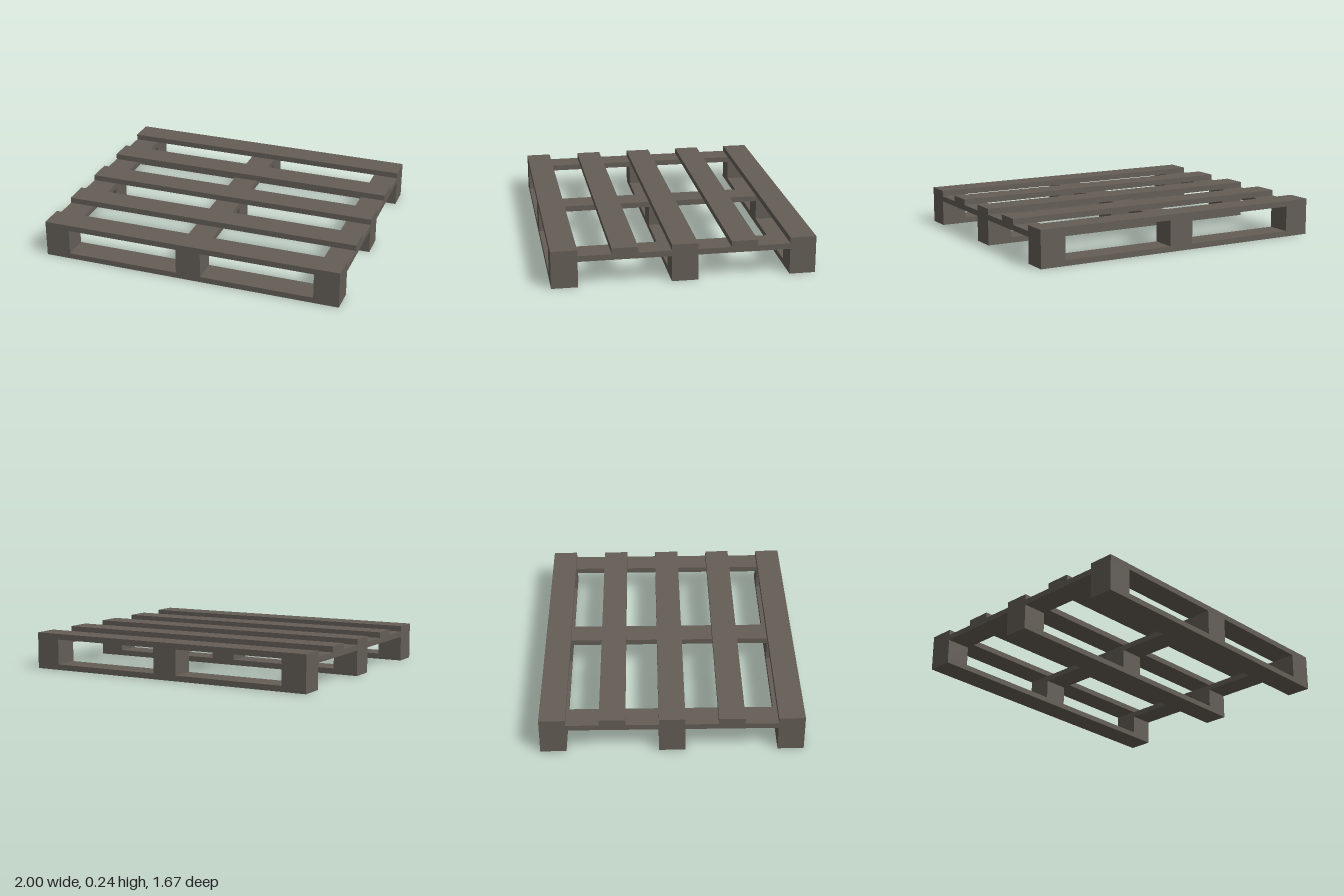
import * as THREE from 'three';

export function createModel() {
  const pallet = new THREE.Group();
  pallet.name = 'pallet';
  const wood = new THREE.MeshStandardMaterial({ color: 0x645e56 });

  const W = 0.166;                          // width of every board and block
  const y = [0, 0.037, 0.167, 0.204, 0.242]; // layer heights from the ground up
  const columns = [-0.917, 0, 0.917];
  const runners = [-0.75, 0, 0.75];

  function board(name, width, depth, x, z, layer) {
    const height = y[layer + 1] - y[layer];
    const mesh = new THREE.Mesh(new THREE.BoxGeometry(width, height, depth), wood);
    mesh.name = name;
    mesh.position.set(x, y[layer] + height / 2, z);
    pallet.add(mesh);
  }

  // Bottom runners with three spacer blocks on each
  for (const z of runners) {
    board('bottomBoard', 2, W, 0, z, 0);
    for (const x of columns) board('block', W, W, x, z, 1);
  }

  // Stringers running front to back over the blocks
  for (const x of columns) board('stringer', W, 1.5 + W, x, 0, 2);

  // Five deck boards across the top
  for (let i = -2; i <= 2; i++) board('deckBoard', 2, W, 0, i * 0.375, 3);

  return pallet;
}
